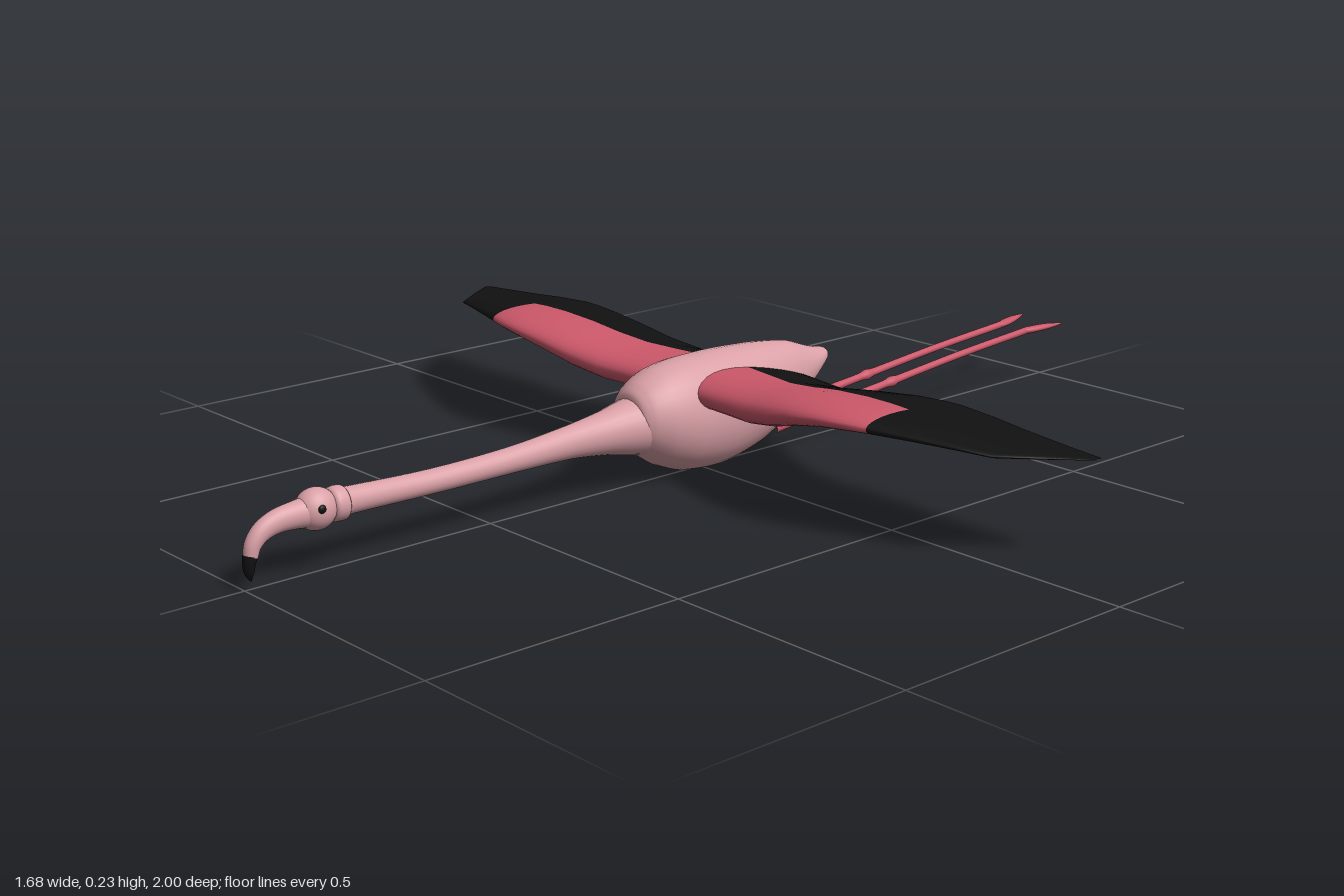
import * as THREE from 'three';

const mat = (name, color) => {
  const m = new THREE.MeshStandardMaterial({ color });
  m.name = name;
  return m;
};

function grid(points, rows, cols, wrap, flip, isRed) {
  // Stitches rows of points into a surface; isRed(row, col) picks the second group
  const sets = [[], []];
  for (let i = 0; i < rows - 1; i++) {
    for (let j = 0; j < (wrap ? cols : cols - 1); j++) {
      const k = (j + 1) % cols;
      const a = i * cols + j, b = i * cols + k, c = a + cols, d = b + cols;
      const out = sets[isRed && isRed(i, j) ? 1 : 0];
      if (flip) out.push(a, c, b, b, c, d);
      else out.push(a, b, c, b, d, c);
    }
  }
  const g = new THREE.BufferGeometry();
  g.setAttribute('position', new THREE.Float32BufferAttribute(points, 3));
  g.setIndex([...sets[0], ...sets[1]]);
  if (isRed) {
    g.addGroup(0, sets[0].length, 0);
    g.addGroup(sets[0].length, sets[1].length, 1);
  }
  g.computeVertexNormals();
  return g;
}

// Smooth elliptical tube through sections [z, y, half width, half height]
function loft(sections, { bend = true, sides = 24, steps = 5 } = {}) {
  const path = new THREE.CatmullRomCurve3(sections.map(([z, y]) => new THREE.Vector3(0, y, z)));
  const size = new THREE.CatmullRomCurve3(sections.map(([, , w, h], i) => new THREE.Vector3(w, h, i * 0.02)));
  const n = (sections.length - 1) * steps;
  const pts = [];
  for (let i = 0; i <= n; i++) {
    const p = path.getPoint(i / n), s = size.getPoint(i / n);
    const t = bend ? path.getTangent(i / n) : new THREE.Vector3(0, 0, 1);
    for (let j = 0; j < sides; j++) {
      const a = (j / sides) * Math.PI * 2;
      const h = Math.max(s.y, 0.0003) * Math.sin(a);
      pts.push(Math.max(s.x, 0.0003) * Math.cos(a), p.y + h * t.z, p.z - h * t.y);
    }
  }
  return grid(pts, n + 1, sides, true, false);
}

// Wing ribs: x, leading z, colour border z, trailing z, leading y, trailing y, thickness
const RIBS = [
  [0.03, 0.07, -0.075, -0.228, 0.165, 0.148, 0.07],
  [0.07, 0.073, -0.07, -0.224, 0.165, 0.148, 0.07],
  [0.13, 0.076, -0.06, -0.215, 0.165, 0.148, 0.07],
  [0.2, 0.087, -0.042, -0.19, 0.168, 0.155, 0.07],
  [0.27, 0.102, -0.027, -0.167, 0.18, 0.17, 0.066],
  [0.34, 0.113, -0.019, -0.151, 0.195, 0.188, 0.056],
  [0.42, 0.115, -0.016, -0.145, 0.205, 0.2, 0.044],
  [0.48, 0.106, -0.015, -0.148, 0.207, 0.203, 0.038],
  [0.52, 0.092, -0.015, -0.15, 0.206, 0.203, 0.034],
  [0.6, 0.063, -0.03, -0.147, 0.201, 0.199, 0.025],
  [0.67, 0.034, -0.045, -0.142, 0.195, 0.194, 0.018],
  [0.73, 0.012, -0.06, -0.14, 0.19, 0.19, 0.012],
  [0.78, -0.048, -0.095, -0.14, 0.186, 0.186, 0.008],
  [0.84, -0.125, -0.134, -0.143, 0.181, 0.181, 0.002],
];

function wing(side) {
  const front = 8, rear = 5, half = front + rear;
  const thick = t => 2 * (1.4845 * Math.sqrt(t) - 0.63 * t - 1.758 * t * t + 1.4215 * t ** 3 - 0.5075 * t ** 4);
  const pts = [];
  for (const [x, lead, border, trail, yLead, yTrail, th] of RIBS) {
    const split = (lead - border) / (lead - trail);
    for (let k = -half; k <= half; k++) {
      const m = Math.abs(k);
      const t = m <= front ? split * (m / front) ** 2 : split + (1 - split) * (m - front) / rear;
      const y = yLead + (yTrail - yLead) * t * t - Math.sign(k) * th * 0.5 * thick(t);
      pts.push(side * x, y, lead + (trail - lead) * t);
    }
  }
  const red = (i, j) => RIBS[i][0] < 0.52 && j >= rear && j < rear + 2 * front;
  return grid(pts, RIBS.length, 2 * half + 1, false, side < 0, red);
}

export function createModel() {
  const pink = mat('palePink', 0xd9a0a6);
  const red = mat('coralRed', 0xcc586a);
  const black = mat('black', 0x111111);
  const model = new THREE.Group();
  const add = (name, geometry, material) => {
    const mesh = new THREE.Mesh(geometry, material);
    mesh.name = name;
    model.add(mesh);
    return mesh;
  };

  // Egg-shaped body tapering to the tail
  add('body', loft([
    [-0.34, 0.165, 0.001, 0.001], [-0.325, 0.163, 0.017, 0.014], [-0.29, 0.153, 0.032, 0.032],
    [-0.22, 0.137, 0.052, 0.072], [-0.13, 0.12, 0.071, 0.1], [-0.03, 0.112, 0.084, 0.112],
    [0.06, 0.114, 0.088, 0.108], [0.12, 0.12, 0.08, 0.092], [0.16, 0.124, 0.063, 0.069],
    [0.178, 0.123, 0.045, 0.05], [0.182, 0.12, 0.001, 0.001],
  ], { bend: false, sides: 32 }), pink);

  // Long outstretched neck
  add('neck', loft([
    [0.12, 0.112, 0.065, 0.06], [0.18, 0.113, 0.052, 0.053], [0.24, 0.113, 0.038, 0.041],
    [0.32, 0.112, 0.028, 0.031], [0.45, 0.107, 0.023, 0.024], [0.62, 0.105, 0.022, 0.022],
    [0.78, 0.109, 0.022, 0.024], [0.83, 0.11, 0.024, 0.026],
  ]), pink);

  // Head with a small collar behind it
  add('collar', loft([
    [0.802, 0.109, 0.001, 0.001], [0.804, 0.109, 0.026, 0.028], [0.815, 0.109, 0.029, 0.031],
    [0.83, 0.11, 0.027, 0.028], [0.84, 0.11, 0.001, 0.001],
  ]), pink);
  const head = add('head', new THREE.SphereGeometry(1, 28, 18), pink);
  head.scale.set(0.033, 0.037, 0.038);
  head.position.set(0, 0.109, 0.858);

  // Hooked bill with a dark tip
  add('bill', loft([
    [0.87, 0.107, 0.026, 0.028], [0.9, 0.107, 0.021, 0.024], [0.935, 0.104, 0.018, 0.021],
    [0.963, 0.093, 0.016, 0.018], [0.98, 0.075, 0.0145, 0.015], [0.986, 0.056, 0.013, 0.013],
  ]), pink);
  add('billTip', loft([
    [0.986, 0.058, 0.0132, 0.0132], [0.989, 0.045, 0.012, 0.011], [0.99, 0.028, 0.009, 0.008],
    [0.987, 0.013, 0.001, 0.001],
  ]), black);

  for (const side of [1, -1]) {
    const label = side > 0 ? 'left' : 'right';
    add(label + 'Wing', wing(side), [black, red]);

    // Eye as a shallow disc on the side of the head
    const eye = add(label + 'Eye', new THREE.SphereGeometry(1, 12, 8), black);
    eye.scale.set(0.004, 0.0075, 0.0075);
    eye.position.set(side * 0.0315, 0.117, 0.865);

    // Trailing leg with a slight knee
    const leg = add(label + 'Leg', loft([
      [-0.16, 0.05, 0.011, 0.011], [-0.3, 0.064, 0.0095, 0.0095], [-0.47, 0.08, 0.008, 0.008],
      [-0.49, 0.082, 0.011, 0.011], [-0.51, 0.084, 0.008, 0.008], [-0.7, 0.102, 0.0075, 0.0075],
      [-0.91, 0.117, 0.0075, 0.0075],
    ], { sides: 12 }), red);
    leg.position.x = side * 0.035;

    // Splayed, pointed foot
    const foot = add(label + 'Foot', loft([
      [0.01, 0, 0.004, 0.004], [-0.01, 0, 0.010, 0.007], [-0.035, 0.001, 0.0115, 0.007],
      [-0.065, 0.002, 0.008, 0.006], [-0.1, 0.003, 0.0015, 0.002],
    ], { sides: 12 }), red);
    foot.position.set(side * 0.034, 0.117, -0.9);
    foot.rotation.y = -side * 0.2;
  }
  return model;
}
